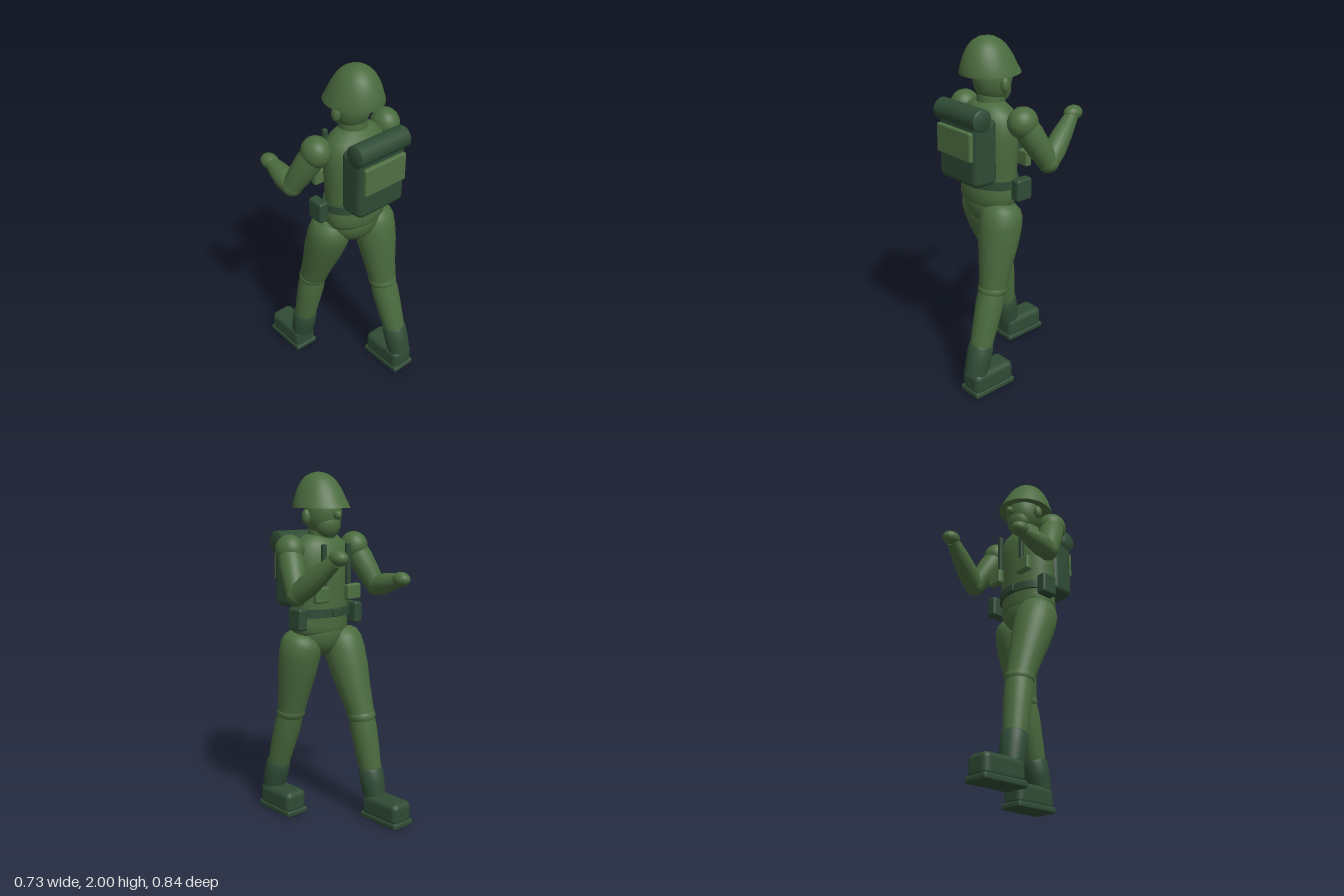
import * as THREE from 'three';
import { toCreasedNormals } from 'three/addons/utils/BufferGeometryUtils.js';
import { RoundedBoxGeometry } from 'three/addons/geometries/RoundedBoxGeometry.js';

const mat = (name, color) => Object.assign(new THREE.MeshStandardMaterial({ color }), { name });

export function createModel() {
  const model = new THREE.Group();
  model.name = 'soldier';
  const green = mat('uniform green', 0x4a6b3e);
  const dark = mat('gear dark green', 0x2f4b35);
  const light = mat('pouch green', 0x4f7043);
  const CX = 0.005; // body centre line
  const V = (x, y, z) => new THREE.Vector3(x, y, z);

  const add = (name, geo, material, x = 0, y = 0, z = 0) => {
    const m = new THREE.Mesh(geo, material);
    m.name = name;
    m.position.set(x, y, z);
    model.add(m);
    return m;
  };
  const ball = (name, p, rx, ry, rz, material = green) =>
    add(name, new THREE.SphereGeometry(1, 28, 18).scale(rx, ry, rz), material, p.x, p.y, p.z);
  const box = (name, w, h, d, r, material, x, y, z) =>
    add(name, new RoundedBoxGeometry(w, h, d, 3, r), material, x, y, z);
  const lathe = (pts, crease = 0.7) =>
    toCreasedNormals(new THREE.LatheGeometry(pts.map(([r, y]) => new THREE.Vector2(r, y)), 32), crease);
  // Limb from a to b; profile lists [fraction of length, radius]
  const limb = (name, a, b, profile, material = green) => {
    const dir = b.clone().sub(a);
    const len = dir.length();
    const pts = profile.map(([t, r]) => [r, t * len]);
    const m = add(name, lathe([[0, pts[0][1]], ...pts, [0, pts.at(-1)[1]]]), material, a.x, a.y, a.z);
    m.quaternion.setFromUnitVectors(V(0, 1, 0), dir.normalize());
    return m;
  };

  // Helmet: a dome whose rim is pushed forward
  const dome = lathe([[0, 1.81], [0.155, 1.81], [0.172, 1.803], [0.166, 1.825], [0.152, 1.86], [0.14, 1.89],
    [0.124, 1.92], [0.104, 1.95], [0.08, 1.973], [0.045, 1.992], [0, 2]]);
  const p = dome.attributes.position;
  for (let i = 0; i < p.count; i++) {
    const k = Math.min(1, Math.max(0, (p.getY(i) - 1.8) / 0.2));
    p.setX(i, p.getX(i) * 0.9);
    p.setZ(i, p.getZ(i) + 0.095 + 0.028 * Math.sqrt(k));
  }
  add('helmet', toCreasedNormals(dome, 0.7), green, CX);

  // Head
  ball('head', V(CX, 1.78, 0.085), 0.107, 0.14, 0.107);
  ball('jaw', V(CX, 1.715, 0.05), 0.08, 0.085, 0.07);
  ball('nose', V(CX, 1.765, -0.035), 0.02, 0.025, 0.025);
  for (const s of [-1, 1]) ball('ear', V(CX + s * 0.115, 1.755, 0.095), 0.022, 0.042, 0.026);
  limb('neck', V(CX, 1.56, 0.1), V(CX, 1.74, 0.09), [[0, 0.08], [1, 0.075]]);

  // Torso, jacket hem and pelvis
  add('torso', lathe([[0, 1.14], [0.172, 1.14], [0.176, 1.22], [0.185, 1.36], [0.192, 1.48], [0.186, 1.55],
    [0.16, 1.61], [0.11, 1.65], [0, 1.67]], 1).scale(1, 1, 0.7), green, CX, 0, 0.11);
  add('jacketHem', lathe([[0, 1.08], [0.165, 1.09], [0.184, 1.12], [0.182, 1.17], [0.176, 1.22], [0, 1.22]], 1)
    .scale(1, 1, 0.7), green, CX, 0, 0.118);
  ball('pelvis', V(CX, 1.1, 0.115), 0.165, 0.145, 0.125);

  // Belt with buckle and side pouches
  add('belt', lathe([[0, 1.2], [0.19, 1.2], [0.19, 1.247], [0, 1.247]]).scale(1, 1, 0.72), dark, CX, 0, 0.11);
  box('buckle', 0.06, 0.045, 0.025, 0.006, dark, CX, 1.224, -0.025);
  for (const s of [-1, 1]) {
    box('beltPouch', 0.06, 0.125, 0.105, 0.015, dark, CX + s * 0.21, 1.198, 0.06);
    // Chest straps and pouches
    box('chestStrap', 0.028, 0.26, 0.025, 0.006, dark, CX + s * 0.09, 1.48, -0.025);
    box('chestPouch', 0.1, 0.09, 0.042, 0.012, light, CX + s * 0.118, 1.335, -0.033);
  }

  // Backpack with pocket and bedroll
  box('backpack', 0.32, 0.36, 0.155, 0.035, dark, CX, 1.42, 0.258);
  box('packPocket', 0.28, 0.16, 0.03, 0.01, light, CX, 1.47, 0.343);
  limb('bedroll', V(CX - 0.17, 1.612, 0.295), V(CX + 0.175, 1.612, 0.295),
    [[0, 0.05], [0.02, 0.06], [0.98, 0.06], [1, 0.05]], dark);

  // Arms
  const arms = [
    { shoulder: V(0.247, 1.58, 0.085), elbow: V(0.308, 1.35, -0.045), hand: V(0.237, 1.56, -0.295) },
    { shoulder: V(-0.234, 1.58, 0.085), elbow: V(-0.308, 1.35, -0.03), hand: V(-0.3, 1.405, -0.235) },
  ];
  for (const { shoulder, elbow, hand } of arms) {
    ball('shoulder', shoulder, 0.077, 0.084, 0.086);
    limb('upperArm', shoulder, elbow, [[0, 0.066], [0.3, 0.072], [0.65, 0.066], [1, 0.056]]);
    ball('elbow', elbow, 0.058, 0.058, 0.058);
    limb('forearm', elbow, hand, [[0, 0.056], [0.25, 0.062], [0.6, 0.053], [0.92, 0.038]]);
    ball('hand', hand, 0.045, 0.042, 0.058);
  }

  // Legs: the left one trails, the right one leads
  const legs = [
    { hip: V(0.13, 1.1, 0.12), knee: V(0.148, 0.62, 0.212), cuff: V(0.165, 0.285, 0.315),
      ankle: V(0.17, 0.13, 0.36), footZ: 0.27 },
    { hip: V(-0.12, 1.1, 0.085), knee: V(-0.136, 0.61, -0.09), cuff: V(-0.16, 0.28, -0.148),
      ankle: V(-0.166, 0.13, -0.175), footZ: -0.273 },
  ];
  for (const { hip, knee, cuff, ankle, footZ } of legs) {
    limb('thigh', hip, knee, [[-0.01, 0.07], [0.04, 0.1], [0.12, 0.117], [0.25, 0.12], [0.45, 0.113],
      [0.7, 0.095], [1, 0.078]]);
    ball('knee', knee, 0.083, 0.058, 0.083);
    limb('shin', knee, cuff, [[0, 0.075], [0.25, 0.079], [0.6, 0.073], [1, 0.064]]);
    limb('bootShaft', cuff, ankle, [[-0.08, 0.066], [0, 0.072], [0.5, 0.072], [1, 0.066]], dark);
    box('boot', 0.145, 0.13, 0.275, 0.035, dark, ankle.x, 0.08, footZ);
    box('bootSole', 0.152, 0.036, 0.285, 0.012, dark, ankle.x, 0.018, footZ);
  }
  return model;
}
